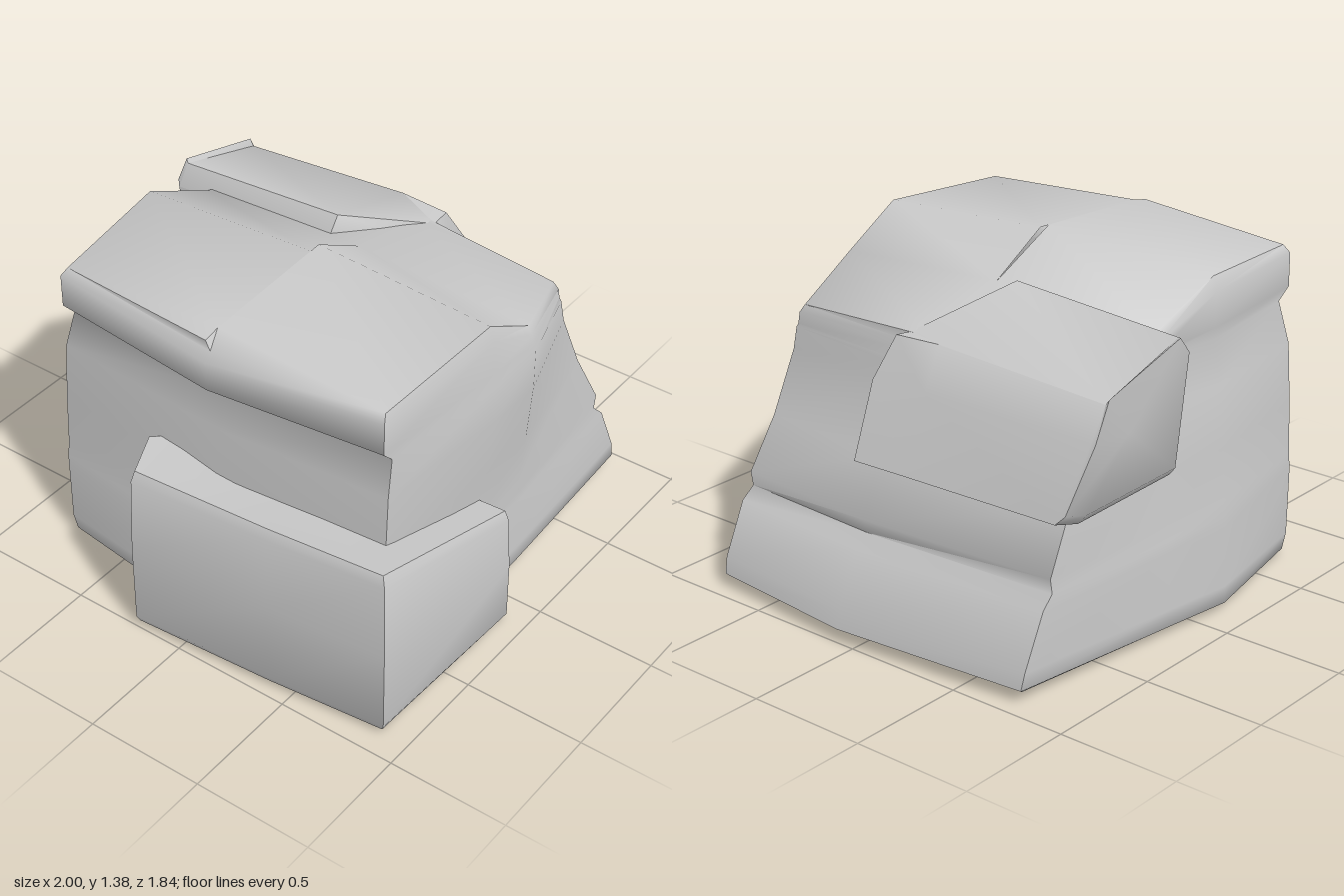
import * as THREE from 'three';
import { toCreasedNormals } from 'three/addons/utils/BufferGeometryUtils.js';

const material = new THREE.MeshStandardMaterial({ color: 0xcccccc, side: THREE.DoubleSide });

// Skin a stack of closed rings, each a list of [x, y, z] points
function loft(name, rings, crease = 1.05) {
  const n = rings[0].length, index = [];
  for (let r = 0; r < rings.length - 1; r++) {
    for (let i = 0; i < n; i++) {
      const a = r * n + i, b = r * n + (i + 1) % n;
      index.push(a, a + n, b, b, a + n, b + n);
    }
  }
  const geometry = new THREE.BufferGeometry();
  geometry.setAttribute('position', new THREE.Float32BufferAttribute(rings.flat(2), 3));
  geometry.setIndex(index);
  const mesh = new THREE.Mesh(toCreasedNormals(geometry, crease), material);
  mesh.name = name;
  return mesh;
}

// Close a stack by shrinking its end rings to their middle
function closed(rings) {
  const middle = ring => {
    const c = [0, 1, 2].map(k => ring.reduce((s, p) => s + p[k], 0) / ring.length);
    return ring.map(() => c);
  };
  return [middle(rings[0]), ...rings, middle(rings[rings.length - 1])];
}

// Height of the sloping top at a given x
function topHeight(x) {
  const pts = [[-0.8, 1.29], [-0.7, 1.31], [-0.1, 1.34], [0.16, 1.19], [0.57, 1.1], [1.1, 0.95]];
  const i = Math.max(1, pts.findIndex(p => p[0] >= x));
  const [x0, y0] = pts[i - 1], [x1, y1] = pts[i];
  return y0 + (y1 - y0) * (x - x0) / (x1 - x0);
}

// Main boulder: flared foot, notch above it, overhanging cap
function body() {
  // y, right corner, right middle, left corner, left middle, front corner, front, back corner, back
  const levels = [
    [0.00, 0.90, 0.96, -0.70, -0.80, 0.73, 0.76, -0.74, -0.85],
    [0.02, 0.93, 1.00, -0.72, -0.82, 0.75, 0.78, -0.76, -0.88],
    [0.09, 0.92, 0.98, -0.73, -0.82, 0.75, 0.78, -0.77, -0.88],
    [0.34, 0.83, 0.88, -0.72, -0.80, 0.74, 0.77, -0.78, -0.87],
    [0.39, 0.78, 0.82, -0.72, -0.79, 0.73, 0.77, -0.78, -0.87],
    [0.45, 0.79, 0.84, -0.71, -0.78, 0.73, 0.77, -0.78, -0.86],
    [0.67, 0.69, 0.73, -0.70, -0.77, 0.69, 0.79, -0.78, -0.85],
    [0.92, 0.59, 0.63, -0.69, -0.74, 0.67, 0.81, -0.77, -0.83],
    [1.09, 0.58, 0.62, -0.67, -0.72, 0.66, 0.81, -0.73, -0.79],
    [1.14, 0.58, 0.61, -0.72, -0.80, 0.65, 0.80, -0.74, -0.80],
    [1.28, 0.57, 0.60, -0.72, -0.80, 0.65, 0.79, -0.74, -0.80],
    [1.38, 0.56, 0.59, -0.70, -0.77, 0.63, 0.77, -0.72, -0.78],
  ];
  const rings = levels.map(([y, xr, xrm, xl, xlm, zf, zfm, zb, zbm]) => [
    [xr, zf], [0.16, zfm], [-0.1, zfm], [xl, Math.min(0.75, zfm - 0.03)], [xlm, 0.02],
    [xl, zb], [-0.15, zbm], [0.16, zbm * 0.96], [xr, zb], [xrm, 0.08],
  ].map(([x, z]) => {
    const foot = y < 0.1 ? 0.02 * (x + 0.8) : 0;
    return [x, Math.min(y + foot, topHeight(x) - (1.38 - y) * 0.3), z];
  }));
  // Ridge along the crown and a flat underside
  rings.push(rings[rings.length - 1].map(([x]) => [x, topHeight(x) + 0.04, 0]));
  rings.unshift(rings[0].map(([x, y]) => [x, y, 0]));
  return loft('boulder', rings);
}

// Low block bulging from the front corner
function frontBlock() {
  const outline = [[-0.12, 0.92], [-0.91, 0.9], [-0.96, 0.4], [-1, -0.21], [-0.8, -0.3], [-0.2, 0]];
  const levels = [[0.02, 0.97], [0.05, 1], [0.4, 1], [0.72, 0.97], [0.76, 0.93]];
  const rings = levels.map(([y, s]) => outline.map(([x, z]) => {
    const slope = Math.max(0, x + 0.72) * 0.36 * Math.min(1, y / 0.72);
    const edge = x > -0.3 ? x : -0.5 + (x + 0.5) * s;
    return [edge, y - slope, z * (0.5 + s / 2)];
  }));
  return loft('frontBlock', closed(rings), 0.9);
}

// Slab leaning on the upper back corner
function sideSlab() {
  const profile = [[0.16, 1.2], [0.22, 1.28], [0.66, 1.15], [0.74, 0.98], [0.85, 0.69], [0.72, 0.65], [0.16, 0.66]];
  const tip = [[0.56, 1.05], [0.58, 1.13], [0.66, 1.14], [0.75, 0.98], [0.86, 0.69], [0.72, 0.66], [0.56, 0.68]];
  const back = profile.map(([x, y]) => [
    0.45 + (x - 0.45) * 0.93, 0.97 + (y - 0.97) * 0.86, y < 0.8 ? -0.87 : -0.92,
  ]);
  const rings = [
    back,
    profile.map(([x, y]) => [x > 0.5 ? x - 0.02 : x, y > 1.1 ? y - 0.05 : y, y < 0.8 ? -0.83 : -0.9]),
    profile.map(([x, y]) => [x, y, -0.15]),
    tip.map(([x, y]) => [x, y, y > 1.1 ? 0.06 : 0.1]),
  ];
  return loft('sideSlab', closed(rings), 0.9);
}

export function createModel() {
  const group = new THREE.Group();
  group.name = 'rock';
  group.add(body(), frontBlock(), sideSlab());
  return group;
}
